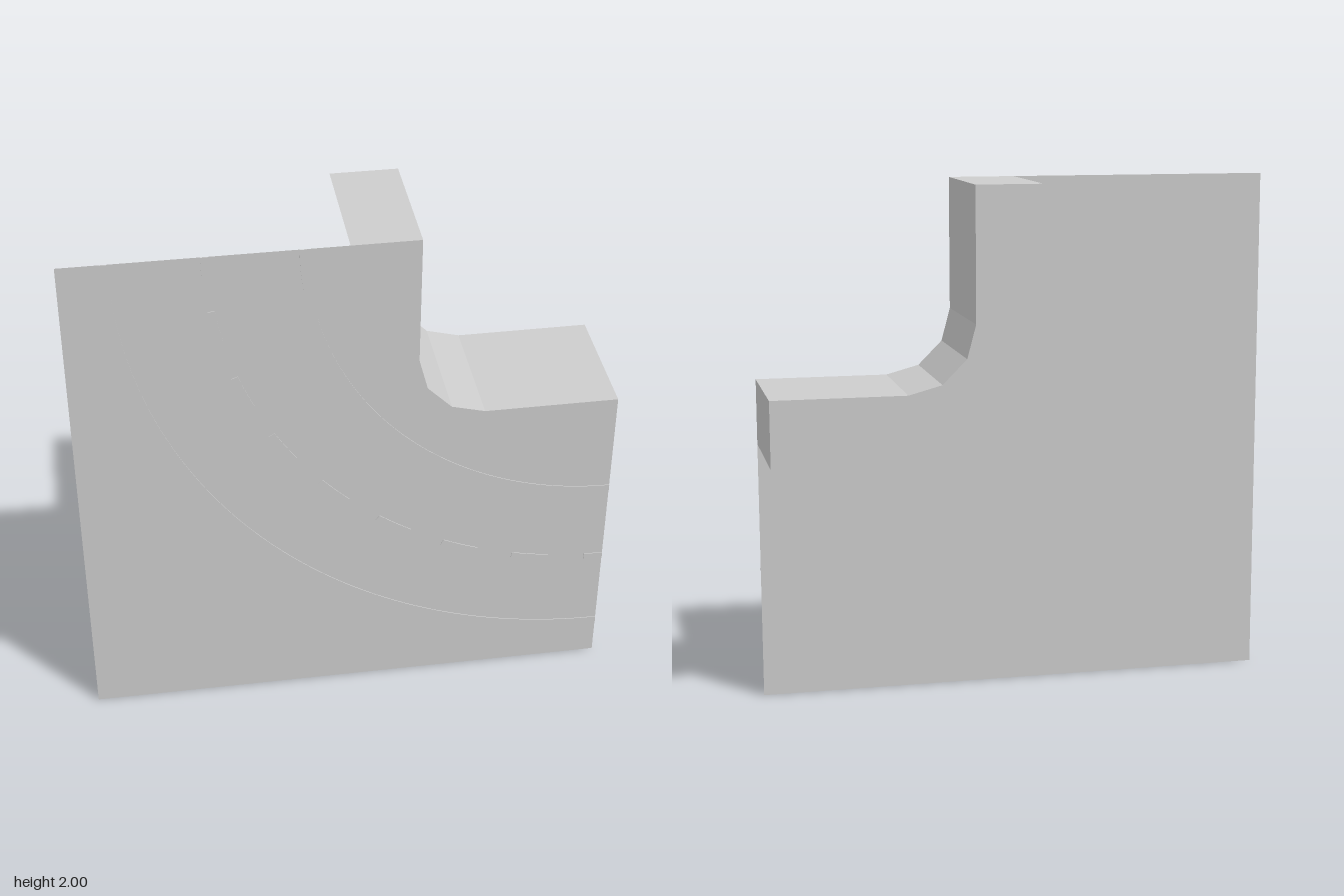
import * as THREE from 'three';

const FRONT = 0.25, BACK = -0.25;

// Corner outline: short top return, wall, quarter-round in three facets, ledge, end return
function cornerProfile() {
  const points = [[0, 2], [0.25, 2]];
  for (let i = 0; i <= 3; i++) {
    const a = Math.PI + (i / 3) * (Math.PI / 2);
    points.push([0.5 + 0.25 * Math.cos(a), 1.5 + 0.25 * Math.sin(a)]);
  }
  points.push([1, 1.25], [1, 1]);
  return points;
}

// Open strip swept from front to back along a profile
function ribbon(points) {
  const pos = [];
  for (let i = 0; i < points.length - 1; i++) {
    const [ax, ay] = points[i], [bx, by] = points[i + 1];
    pos.push(ax, ay, FRONT, bx, by, FRONT, bx, by, BACK);
    pos.push(ax, ay, FRONT, bx, by, BACK, ax, ay, BACK);
  }
  const geo = new THREE.BufferGeometry();
  geo.setAttribute('position', new THREE.Float32BufferAttribute(pos, 3));
  geo.computeVertexNormals();
  return geo;
}

// Thin curved marking around the corner (1, 2); angles in degrees from the top edge
function marking(radius, from, to, segments) {
  const w = 0.0125;
  const a0 = Math.PI + THREE.MathUtils.degToRad(from);
  const a1 = Math.PI + THREE.MathUtils.degToRad(to);
  const shape = new THREE.Shape();
  shape.absarc(1, 2, radius + w, a0, a1, false);
  shape.absarc(1, 2, radius - w, a1, a0, true);
  const geo = new THREE.ExtrudeGeometry(shape, { depth: 0.003, bevelEnabled: false, curveSegments: segments });
  geo.translate(0, 0, FRONT);
  return geo;
}

export function createModel() {
  const model = new THREE.Group();
  model.name = 'curvedRoadTile';
  const grey = new THREE.MeshStandardMaterial({ color: 0xcccccc, side: THREE.DoubleSide });
  grey.name = 'lightGrey';
  const add = (name, geo, parent = model) => {
    const mesh = new THREE.Mesh(geo, grey);
    mesh.name = name;
    parent.add(mesh);
  };

  // Flat road panel with the corner cut away
  const profile = cornerProfile();
  const outline = [[-1, 0], [1, 0], ...profile.slice(1, -1).reverse(), [-1, 2]];
  const panel = new THREE.ShapeGeometry(new THREE.Shape(outline.map(([x, y]) => new THREE.Vector2(x, y))));
  panel.translate(0, 0, FRONT);
  add('roadPanel', panel);

  // Strip of walls running back from the cut corner
  add('cornerWall', ribbon(profile));

  // Solid edge lines
  add('innerEdgeLine', marking(1.1625, 0, 90, 32));
  add('outerEdgeLine', marking(1.8375, 0, 90, 32));

  // Dashed centre line, with half dashes at both ends
  const dashes = new THREE.Group();
  dashes.name = 'centreLine';
  model.add(dashes);
  const step = 90 / 8;
  for (let i = 0; i <= 8; i++) {
    const from = Math.max(0, (i - 0.25) * step);
    const to = Math.min(90, (i + 0.25) * step);
    add('centreDash', marking(1.5, from, to, 3), dashes);
  }
  return model;
}
